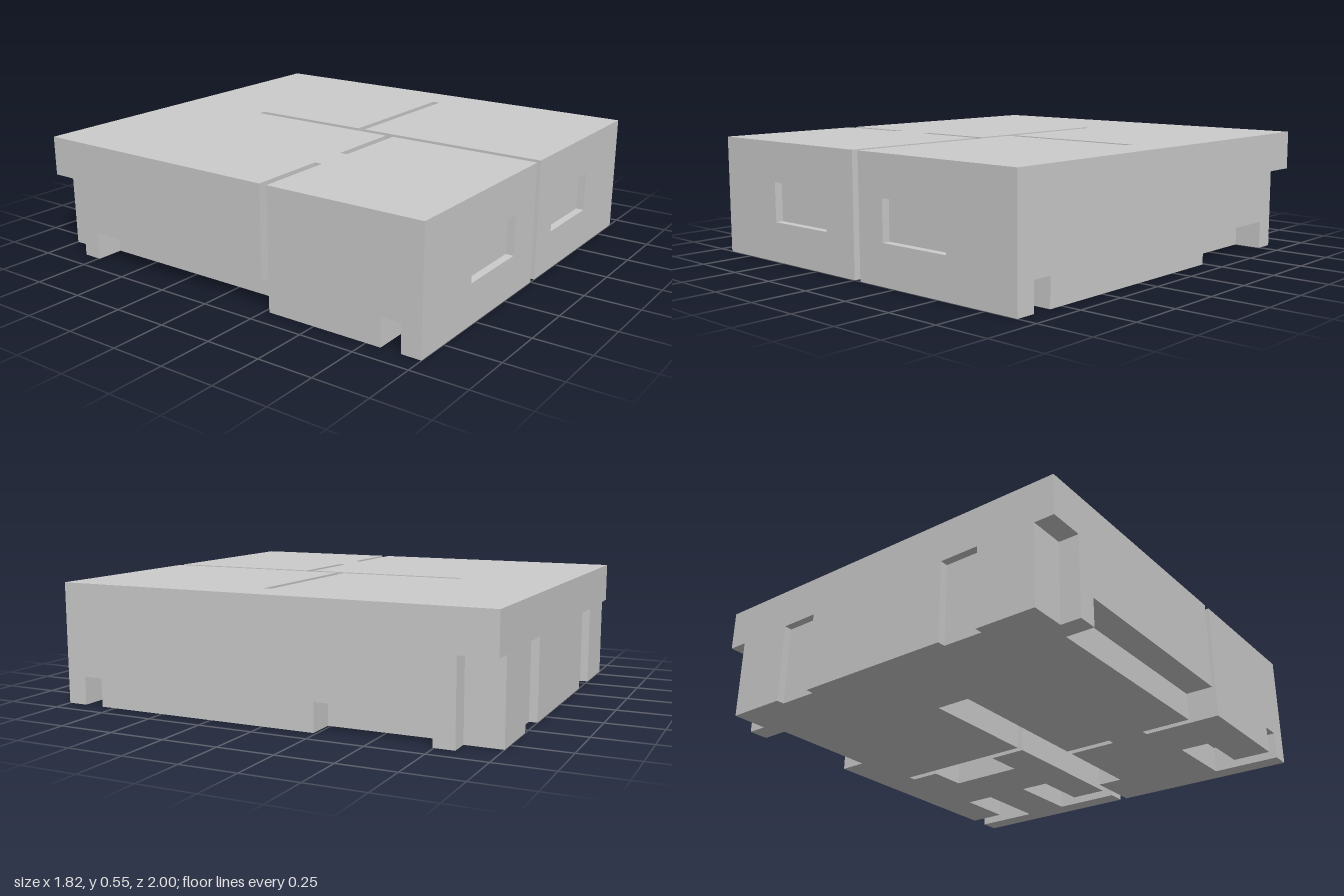
import * as THREE from 'three';

const S = 2 / 11; // one plan unit in model units
const H = 0.7;    // height of the low furniture hollows

// Each cut is a box: [x0, x1, y0, y1, z0, z1] in plan units
const wallSlots = [
  [0, 0.2, 0, 3, -2.9, 5.5],
  [0.2, 4, 0, 3, 0.3, 0.5],
  [-5, -3, 0, 3, 1.3, 1.5],
  [-2, 0, 0, 3, 1.3, 1.5],
];

const windowsAndDoors = [];
const wardrobes = [];
for (const s of [-1, 1]) {
  const span = (a, b) => (s > 0 ? [a, b] : [-b, -a]);
  windowsAndDoors.push([...span(1, 3), 1, 2, 5.3, 5.5]);   // front window
  windowsAndDoors.push([...span(2, 3), 0, 2, -5.5, -5.3]); // back door
  wardrobes.push([...span(4.5, 5), 0, 2, -5.5, -4.6]);     // back corner
}

const furniture = [
  // side counters
  [4.3, 5, 0, H, -4.1, -1.3],
  [-5, -4.3, 0, H, -4.1, 1.3],
  // counters along the middle wall
  [-0.7, 0, 0, H, -2.9, 1.3],
  [-0.7, 0, 0, H, 1.5, 4],
  // low bench against the cross wall
  [1.2, 3.2, 0, H, 0.5, 1.5],
  // L-shaped hollows near the front wall
  [3.2, 4, 0, H, 3, 5], [4, 5, 0, H, 4.5, 5],
  [1.2, 2, 0, H, 3, 5], [0.2, 1.2, 0, H, 4.5, 5],
  [-4, -3.2, 0, H, 3, 5], [-5, -4, 0, H, 4.5, 5],
];

// Builds a box minus all cuts, keeping only faces between solid and empty cells
function carvedBox(outer, cuts) {
  const grid = [0, 1, 2].map((a) =>
    [...new Set([outer, ...cuts].flatMap((c) => [c[2 * a], c[2 * a + 1]]))].sort((p, q) => p - q));
  const solid = (cell) => {
    if (cell.some((i, a) => i < 0 || i >= grid[a].length - 1)) return false;
    const mid = cell.map((i, a) => (grid[a][i] + grid[a][i + 1]) / 2);
    return !cuts.some((c) => mid.every((m, a) => m > c[2 * a] && m < c[2 * a + 1]));
  };
  const positions = [];
  const addFace = (cell, axis, dir) => {
    const u = (axis + 1) % 3, v = (axis + 2) % 3;
    const corner = (du, dv) => {
      const p = [0, 0, 0];
      p[axis] = grid[axis][cell[axis] + (dir > 0 ? 1 : 0)];
      p[u] = grid[u][cell[u] + du];
      p[v] = grid[v][cell[v] + dv];
      return p.map((n) => n * S);
    };
    const q = [corner(0, 0), corner(1, 0), corner(1, 1), corner(0, 1)];
    if (dir < 0) q.reverse();
    for (const k of [0, 1, 2, 0, 2, 3]) positions.push(...q[k]);
  };
  for (let i = 0; i < grid[0].length - 1; i++)
    for (let j = 0; j < grid[1].length - 1; j++)
      for (let k = 0; k < grid[2].length - 1; k++) {
        const cell = [i, j, k];
        if (!solid(cell)) continue;
        for (let axis = 0; axis < 3; axis++)
          for (const dir of [-1, 1]) {
            const next = [...cell];
            next[axis] += dir;
            if (!solid(next)) addFace(cell, axis, dir);
          }
      }
  const geometry = new THREE.BufferGeometry();
  geometry.setAttribute('position', new THREE.Float32BufferAttribute(positions, 3));
  geometry.computeVertexNormals();
  return geometry;
}

export function createModel() {
  const group = new THREE.Group();
  group.name = 'apartmentInterior';
  const material = new THREE.MeshStandardMaterial({ color: 0xcccccc, flatShading: true });
  // room volume with walls, openings and furniture hollowed out
  const rooms = new THREE.Mesh(
    carvedBox([-5, 5, 0, 3, -5.5, 5.5],
      [...wallSlots, ...windowsAndDoors, ...wardrobes, ...furniture]),
    material);
  rooms.name = 'roomVolume';
  group.add(rooms);
  return group;
}
